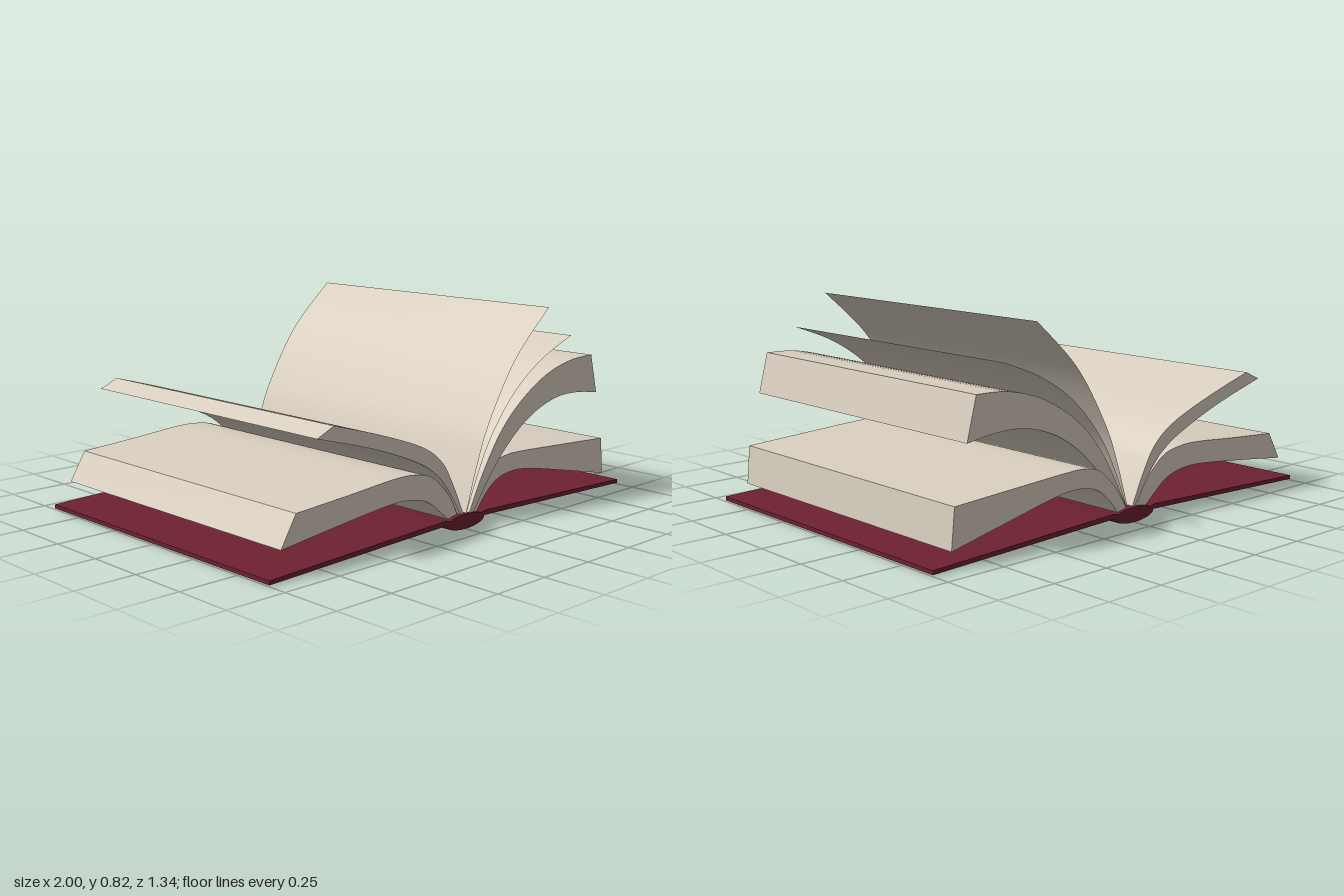
import * as THREE from 'three';
import { toCreasedNormals } from 'three/addons/utils/BufferGeometryUtils.js';

const paper = new THREE.MeshStandardMaterial({ color: 0xd9cfc0, side: THREE.DoubleSide });
paper.name = 'paper';
const cloth = new THREE.MeshStandardMaterial({ color: 0x6e2130 });
cloth.name = 'coverCloth';

const curve = (pts) => new THREE.SplineCurve(pts.map(([x, y]) => new THREE.Vector2(x, y)));

// Extrudes an outline in x/y from zBack to zFront
function slab(name, points, zBack, zFront, material) {
  const raw = new THREE.ExtrudeGeometry(new THREE.Shape(points), {
    depth: zFront - zBack, bevelEnabled: false,
  });
  raw.translate(0, 0, zBack);
  const mesh = new THREE.Mesh(toCreasedNormals(raw, 0.5), material);
  mesh.name = name;
  return mesh;
}

// A thick bundle of pages: top and bottom curves both run from spine to fore edge
function pageBlock(name, top, bottom, zBack, zFront) {
  const outline = [...curve(top).getPoints(28), ...curve(bottom).getPoints(28).reverse()];
  return slab(name, outline, zBack, zFront, paper);
}

// A single loose page, bent along a curve
function sheet(name, pts, zBack, zFront) {
  const path = curve(pts);
  const g = new THREE.PlaneGeometry(1, 1, 28, 1);
  const p = g.attributes.position;
  for (let i = 0; i < p.count; i++) {
    const q = path.getPoint(p.getX(i) + 0.5);
    p.setXYZ(i, q.x, q.y, p.getY(i) > 0 ? zBack : zFront);
  }
  g.computeVertexNormals();
  const mesh = new THREE.Mesh(g, paper);
  mesh.name = name;
  return mesh;
}

export function createModel() {
  const book = new THREE.Group();
  book.name = 'openBook';

  // Sloping cover boards
  for (const [name, s] of [['leftCover', 1], ['rightCover', -1]]) {
    const outline = [[0.09, 0.034], [1, 0.005], [1, 0.021], [0.12, 0.053], [0.09, 0.048]]
      .map(([x, y]) => new THREE.Vector2(s * x, y));
    book.add(slab(name, outline, -0.67, 0.67, cloth));
  }

  // Rounded spine
  const oval = new THREE.EllipseCurve(0, 0.03, 0.108, 0.03).getPoints(28).slice(0, -1);
  book.add(slab('spine', oval, -0.67, 0.67, cloth));

  // Page bundles resting on the covers
  book.add(pageBlock('leftLowerPages',
    [[0.025, 0.05], [0.055, 0.1], [0.1, 0.16], [0.18, 0.23], [0.26, 0.25], [0.36, 0.25], [0.6, 0.237], [0.89, 0.22]],
    [[0.075, 0.045], [0.13, 0.11], [0.2, 0.16], [0.3, 0.178], [0.42, 0.166], [0.65, 0.118], [0.905, 0.063]],
    -0.655, 0.655));
  book.add(pageBlock('rightLowerPages',
    [[-0.025, 0.05], [-0.055, 0.11], [-0.1, 0.17], [-0.18, 0.235], [-0.27, 0.257], [-0.38, 0.26], [-0.6, 0.243], [-0.86, 0.225]],
    [[-0.075, 0.045], [-0.13, 0.09], [-0.2, 0.14], [-0.3, 0.165], [-0.42, 0.165], [-0.66, 0.14], [-0.93, 0.108]],
    -0.655, 0.65));

  // Page bundles lifted into the air
  book.add(pageBlock('leftRaisedPages',
    [[0.02, 0.05], [0.1, 0.2], [0.2, 0.345], [0.32, 0.455], [0.48, 0.545], [0.64, 0.588], [0.785, 0.595]],
    [[0.045, 0.05], [0.15, 0.19], [0.27, 0.31], [0.4, 0.395], [0.55, 0.443], [0.69, 0.448], [0.828, 0.43]],
    -0.65, 0.665));
  book.add(pageBlock('rightRaisedPages',
    [[0, 0.05], [-0.065, 0.185], [-0.13, 0.285], [-0.24, 0.36], [-0.45, 0.437], [-0.69, 0.508]],
    [[-0.015, 0.05], [-0.09, 0.165], [-0.16, 0.24], [-0.27, 0.307], [-0.5, 0.395], [-0.77, 0.473]],
    -0.655, 0.66));

  // Single pages turning over
  book.add(sheet('upperLoosePage',
    [[0.005, 0.05], [0.065, 0.235], [0.135, 0.4], [0.285, 0.63], [0.49, 0.82]], -0.64, 0.665));
  book.add(sheet('lowerLoosePage',
    [[0.012, 0.05], [0.08, 0.205], [0.165, 0.355], [0.3, 0.505], [0.465, 0.615], [0.65, 0.69]], -0.645, 0.66));

  return book;
}
